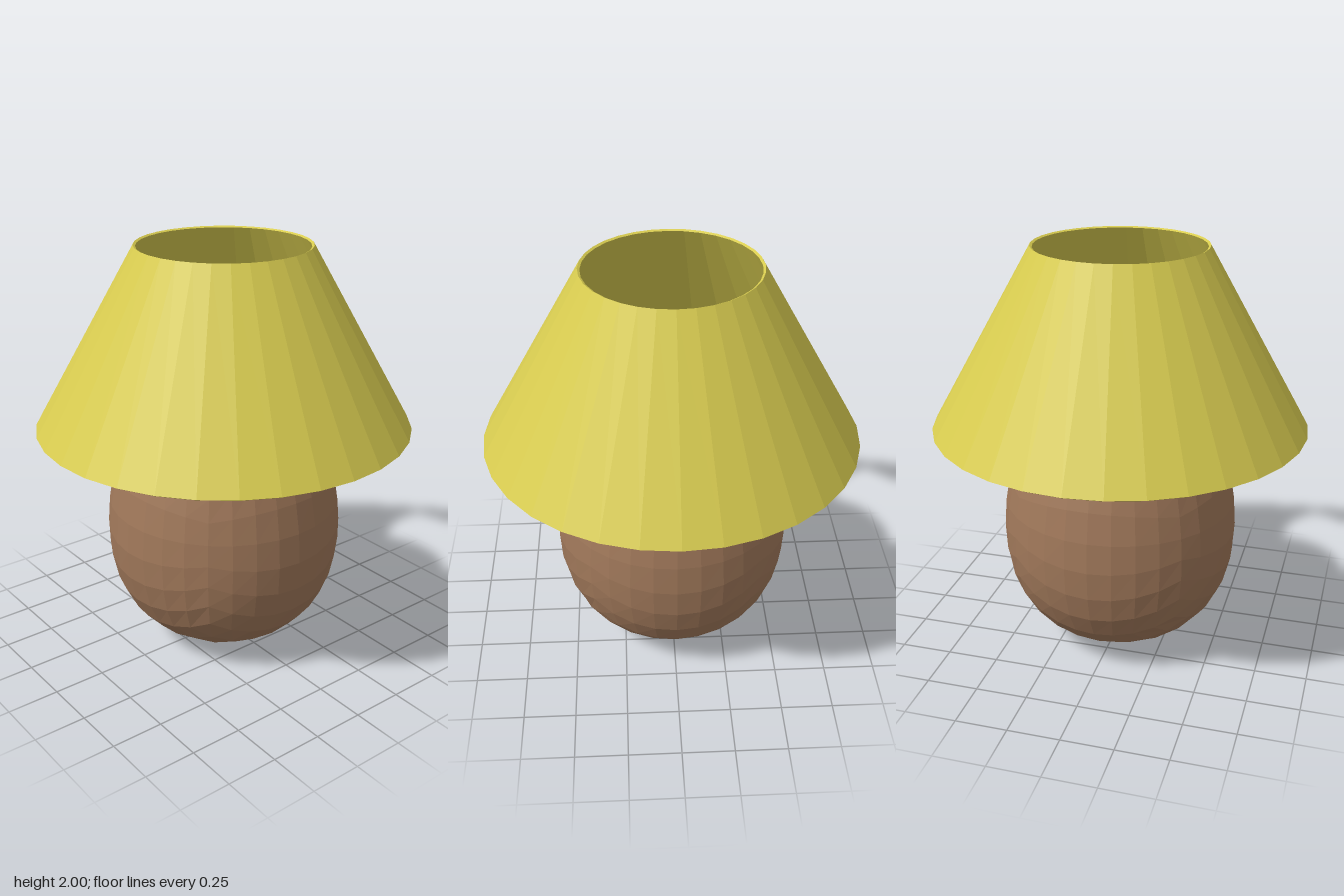
import * as THREE from 'three';

// Egg-shaped body: a cube grid rounded to a sphere, then widened towards the bottom
function bodyGeometry() {
  const box = new THREE.BoxGeometry(2, 2, 2, 8, 8, 8);
  const pos = box.attributes.position;
  const v = new THREE.Vector3();
  const even = (t) => Math.tan(t * Math.PI / 4); // equal angular steps
  for (let i = 0; i < pos.count; i++) {
    v.fromBufferAttribute(pos, i);
    v.set(even(v.x), even(v.y), even(v.z)).normalize();
    const width = 0.565 - 0.095 * v.y + 0.075 * v.y * v.y;
    pos.setXYZ(i, v.x * width, 0.75 + 0.75 * v.y, v.z * width);
  }
  const geometry = box.toNonIndexed();
  geometry.computeVertexNormals();
  return geometry;
}

// Conical shade: a thin closed wall, open at the top and bottom
function shadeGeometry() {
  const profile = [
    [0.888, 1.133], [0.9, 1.14], [0.412, 2], [0.401, 1.994], [0.888, 1.133],
  ].map(([r, y]) => new THREE.Vector2(r, y));
  const geometry = new THREE.LatheGeometry(profile, 32).toNonIndexed();
  geometry.computeVertexNormals();
  return geometry;
}

export function createModel() {
  const lamp = new THREE.Group();
  lamp.name = 'tableLamp';
  const addPart = (name, geometry, color) => {
    const mesh = new THREE.Mesh(geometry, new THREE.MeshStandardMaterial({ color, flatShading: true }));
    mesh.name = name;
    lamp.add(mesh);
  };
  addPart('lampBody', bodyGeometry(), 0xa0785a);
  addPart('lampShade', shadeGeometry(), 0xd8cc50);
  return lamp;
}
